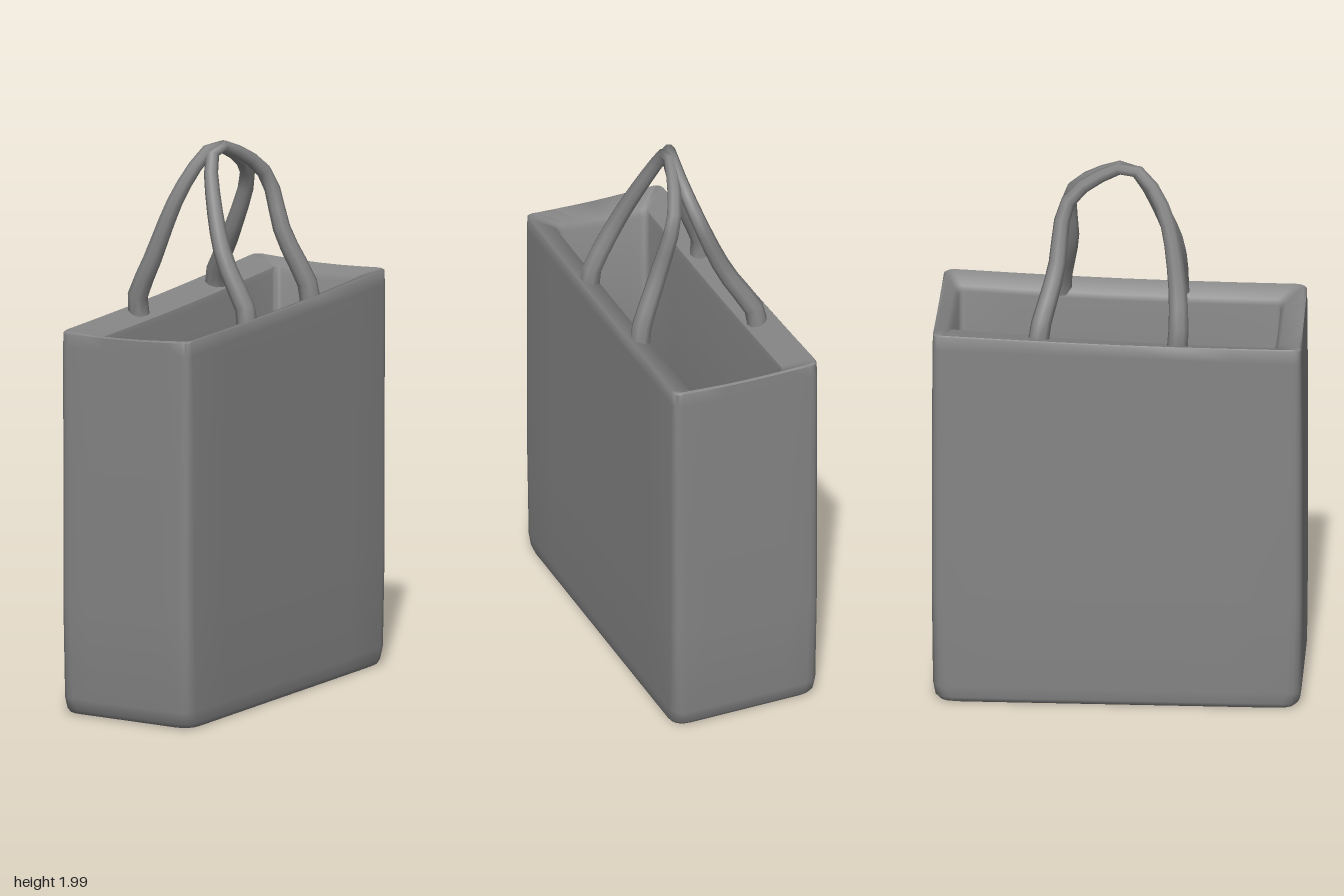
import * as THREE from 'three';
import { toCreasedNormals } from 'three/addons/utils/BufferGeometryUtils.js';

const material = new THREE.MeshStandardMaterial({ color: 0x858585, side: THREE.DoubleSide });

// Corners as [x, z, rim height], counter-clockwise seen from above
const OUTER = [[-0.392, -0.592, 1.425], [-0.128, 0.686, 1.395], [0.392, 0.576, 1.42], [0.158, -0.69, 1.44]];
const INNER = [[-0.26, -0.555, 1.4], [-0.05, 0.57, 1.36], [0.292, 0.505, 1.39], [0.085, -0.615, 1.41]];

// Rounded four-cornered ring; height is a share of the rim height
function ring(corners, { scale = 1, height = 1, drop = 0, radius = 0.04, sag = 0 }) {
  const pts = corners.map(([x, z, y]) => new THREE.Vector3(x * scale, y * height - drop, z * scale));
  const out = [];
  pts.forEach((p, i) => {
    const prev = pts[(i + 3) % 4], next = pts[(i + 1) % 4];
    const toward = (from, to) => from.clone().add(to.clone().sub(from).setLength(radius));
    const b = toward(p, next), end = toward(next, p);
    out.push(...new THREE.QuadraticBezierCurve3(toward(p, prev), p, b).getPoints(4));
    // Wall points between this corner and the next
    for (let k = 1; k < 6; k++) {
      const q = b.clone().lerp(end, k / 6);
      q.y -= sag * Math.sin(Math.PI * k / 6);
      out.push(q);
    }
  });
  return out;
}

// Skin a stack of rings with equal point counts, closing both ends with a fan
function loft(rings) {
  const n = rings[0].length, last = rings.length - 1, pos = [], index = [];
  const centre = (r) => r.reduce((sum, p) => sum.add(p), new THREE.Vector3()).divideScalar(n);
  [...rings.flat(), centre(rings[0]), centre(rings[last])].forEach((p) => pos.push(p.x, p.y, p.z));
  const startCap = rings.length * n, endCap = startCap + 1;
  for (let i = 0; i < n; i++) {
    const next = (i + 1) % n;
    for (let j = 0; j < last; j++) {
      const a = j * n + i, b = j * n + next;
      index.push(a, b, a + n, b, b + n, a + n);
    }
    index.push(startCap, next, i, endCap, last * n + i, last * n + next);
  }
  const g = new THREE.BufferGeometry();
  g.setAttribute('position', new THREE.Float32BufferAttribute(pos, 3));
  g.setIndex(index);
  return toCreasedNormals(g, 0.95);
}

// Tube along a path, thicker at its feet than at its crown
function handle(points) {
  const curve = new THREE.CatmullRomCurve3(points.map((p) => new THREE.Vector3(...p)));
  const segments = 20, sides = 8;
  const g = new THREE.TubeGeometry(curve, segments, 1, sides);
  const pos = g.attributes.position, v = new THREE.Vector3();
  for (let i = 0; i <= segments; i++) {
    const centre = curve.getPointAt(i / segments);
    const r = 0.022 + 0.016 * Math.abs(2 * i / segments - 1);
    for (let j = 0; j <= sides; j++) {
      const k = i * (sides + 1) + j;
      v.fromBufferAttribute(pos, k).sub(centre).multiplyScalar(r).add(centre);
      pos.setXYZ(k, v.x, v.y, v.z);
    }
  }
  return g;
}

export function createModel() {
  const model = new THREE.Group();
  const add = (name, geometry) => {
    const mesh = new THREE.Mesh(geometry, material);
    mesh.name = name;
    model.add(mesh);
  };

  // Bag body: base, outer walls, rim, inner walls and floor in one skin
  add('bagBody', loft([
    ring(OUTER, { scale: 0.93, height: 0.005, radius: 0.06 }),
    ring(OUTER, { scale: 0.97, height: 0.009, radius: 0.06 }),
    ring(OUTER, { scale: 0.99, height: 0.02, radius: 0.06 }),
    ring(OUTER, { height: 0.05, radius: 0.05 }),
    ring(OUTER, { scale: 1.005, height: 0.3 }),
    ring(OUTER, { scale: 1.005, height: 0.7 }),
    ring(OUTER, { height: 0.96, radius: 0.03 }),
    ring(OUTER, { scale: 0.998, sag: 0.006, drop: 0.006, radius: 0.03 }),
    ring(OUTER, { scale: 0.985, sag: 0.008, radius: 0.03 }),
    ring(INNER, { scale: 1.03, sag: 0.008, radius: 0.025 }),
    ring(INNER, { drop: 0.02, sag: 0.008, radius: 0.025 }),
    ring(INNER, { height: 0.5, radius: 0.03 }),
    ring(INNER, { height: 0.14, radius: 0.04 }),
    ring(INNER, { scale: 0.975, height: 0.09, radius: 0.05 }),
    ring(INNER, { scale: 0.9, height: 0.065, radius: 0.05 }),
    ring(INNER, { scale: 0.6, height: 0.058, radius: 0.04 }),
  ]));

  // Two looped handles leaning together at the crown
  add('rightHandle', handle([
    [-0.165, 1.375, 0.245], [-0.17, 1.43, 0.25], [-0.11, 1.59, 0.23], [-0.045, 1.81, 0.175], [-0.012, 1.93, 0.1],
    [-0.003, 1.976, 0.03], [-0.01, 1.94, -0.07], [-0.045, 1.84, -0.185], [-0.14, 1.61, -0.205],
    [-0.25, 1.43, -0.235], [-0.255, 1.38, -0.24],
  ]));
  add('leftHandle', handle([
    [0.265, 1.38, 0.14], [0.262, 1.43, 0.14], [0.165, 1.62, 0.155], [0.075, 1.81, 0.115], [0.022, 1.93, 0.07],
    [0.008, 1.976, 0.03], [0.014, 1.94, -0.08], [0.04, 1.84, -0.195], [0.1, 1.64, -0.215],
    [0.175, 1.45, -0.265], [0.182, 1.39, -0.27],
  ]));
  return model;
}
